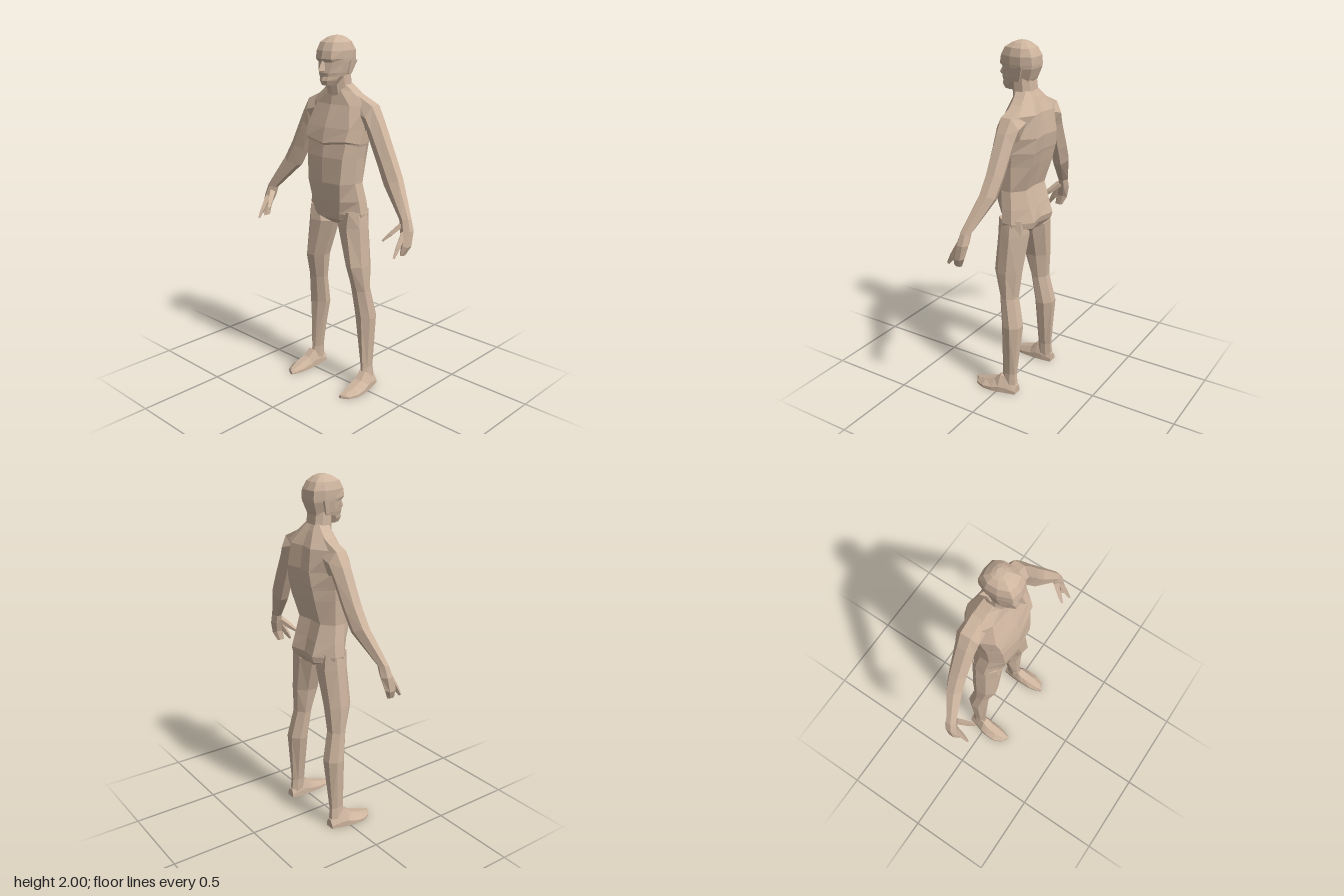
import * as THREE from 'three';

const skin = new THREE.MeshStandardMaterial({ color: 0xcdb49e });
skin.name = 'skin';

// Closed faceted loft through rings of [x, y, z]; side = -1 mirrors it across x.
function loft(name, rings, side = 1) {
  const tris = [];
  const n = rings[0].length;
  const centre = (r) => [0, 1, 2].map((k) => r.reduce((s, p) => s + p[k], 0) / n);
  const first = rings[0], last = rings[rings.length - 1];
  const c0 = centre(first), c1 = centre(last);
  for (let j = 0; j < n; j++) {
    const k = (j + 1) % n;
    for (let i = 0; i < rings.length - 1; i++) {
      const a = rings[i], b = rings[i + 1];
      tris.push([a[j], a[k], b[k]], [a[j], b[k], b[j]]);
    }
    tris.push([c0, first[k], first[j]], [c1, last[j], last[k]]);
  }
  // Turn the faces outward whichever way the rings run
  const v = tris.map((t) => t.map((p) => new THREE.Vector3(p[0] * side, p[1], p[2])));
  const volume = v.reduce((s, [a, b, c]) => s + a.dot(b.clone().cross(c)), 0);
  const points = v.flatMap(([a, b, c]) => (volume < 0 ? [a, c, b] : [a, b, c]));
  const geometry = new THREE.BufferGeometry().setFromPoints(points);
  geometry.computeVertexNormals();
  const mesh = new THREE.Mesh(geometry, skin);
  mesh.name = name;
  return mesh;
}

// Symmetric horizontal ring: half width, front width and depths, side depth, back width and depths
function bodyRing([y, w, f, zf0, zf, zs, b, zb, zb0], gap, lift = 0) {
  const half = [[f, y + lift, zf], [w, y, zs + gap], [w, y, zs - gap], [b, y, zb]];
  const mirrored = half.map(([x, h, z]) => [-x, h, z]).reverse();
  return [[0, y, zf0], ...half, [0, y, zb0], ...mirrored];
}

// Six-sided limb ring between an outer and an inner contour point
function armRing([xo, yo, xi, yi, z, d]) {
  const at = (t, dz) => [xo + (xi - xo) * t, yo + (yi - yo) * t, z + dz];
  return [at(0, d * 0.45), at(0.45, d), at(1, d * 0.5), at(1, -d * 0.5), at(0.45, -d), at(0, -d * 0.45)];
}

// Eight-sided horizontal leg ring
function legRing([y, xo, xi, zf, zb]) {
  const x = (t) => xi + (xo - xi) * t, z = (t) => zb + (zf - zb) * t;
  return [[x(0.3), z(0.93)], [x(0.65), z(1)], [x(0.95), z(0.72)], [x(1), z(0.35)],
    [x(0.75), z(0.03)], [x(0.35), z(0)], [x(0.04), z(0.3)], [x(0), z(0.65)]].map(([a, b]) => [a, y, b]);
}

// Tapered four-sided finger
function finger(name, a, b, r0, r1, side) {
  const ring = ([x, y, z], r) => [[x + r, y, z], [x, y + r * 0.6, z + r], [x - r, y, z], [x, y - r * 0.6, z - r]];
  const mid = a.map((v, i) => v + (b[i] - v) * 0.6);
  return loft(name, [ring(a, r0), ring(mid, r0 * 0.85), ring(b, r1)], side);
}

function buildArm(side) {
  const arm = new THREE.Group();
  arm.name = side > 0 ? 'leftArm' : 'rightArm';
  arm.add(loft('armAndShoulder', [
    [0.11, 1.70, 0.15, 1.50, -0.065, 0.06],
    [0.235, 1.645, 0.20, 1.515, -0.065, 0.066],
    [0.28, 1.57, 0.225, 1.455, -0.062, 0.058],
    [0.375, 1.38, 0.28, 1.345, -0.057, 0.052],
    [0.43, 1.28, 0.335, 1.24, -0.047, 0.048],
    [0.538, 1.10, 0.48, 1.09, 0.005, 0.03],
  ].map(armRing), side));
  arm.add(loft('hand', [
    [0.538, 1.10, 0.48, 1.09, 0.005, 0.03],
    [0.558, 1.04, 0.495, 1.04, 0.012, 0.036],
    [0.56, 0.96, 0.52, 0.975, 0.03, 0.036],
    [0.538, 0.912, 0.52, 0.915, 0.045, 0.024],
  ].map(armRing), side));
  arm.add(finger('indexFinger', [0.525, 1.03, 0.035], [0.525, 0.91, 0.112], 0.017, 0.007, side));
  arm.add(finger('thumb', [0.497, 1.065, 0.02], [0.442, 0.985, 0.105], 0.019, 0.008, side));
  return arm;
}

function buildLeg(side) {
  const leg = new THREE.Group();
  leg.name = side > 0 ? 'leftLeg' : 'rightLeg';
  leg.add(loft('thighAndCalf', [
    [1.06, 0.19, 0.06, 0.045, -0.11],
    [0.97, 0.203, 0.014, 0.053, -0.115],
    [0.75, 0.222, 0.085, 0.055, -0.10],
    [0.60, 0.226, 0.108, 0.015, -0.088],
    [0.43, 0.245, 0.118, -0.005, -0.125],
    [0.12, 0.226, 0.172, -0.015, -0.10],
    [0.03, 0.235, 0.175, -0.005, -0.108],
  ].map(legRing), side));
  // Foot sections from heel to toe: z, inner x, outer x, top height
  leg.add(loft('foot', [
    [-0.11, 0.18, 0.235, 0.05],
    [-0.05, 0.172, 0.25, 0.09],
    [-0.01, 0.17, 0.262, 0.10],
    [0.03, 0.17, 0.27, 0.065],
    [0.09, 0.172, 0.272, 0.045],
    [0.145, 0.185, 0.248, 0.028],
    [0.17, 0.196, 0.21, 0.02],
  ].map(([z, xi, xo, h]) => {
    const w = xo - xi;
    return [[xi, 0, z], [xo, 0, z], [xo, h * 0.35, z], [xo - w * 0.35, h, z], [xi + w * 0.2, h, z], [xi, h * 0.4, z]];
  }), side));
  return leg;
}

function buildHead() {
  const head = new THREE.Group();
  head.name = 'head';
  head.add(loft('skullAndJaw', [
    [1.745, 0.035, 0.018, 0.085, 0.08, 0.03, 0.03, -0.01, -0.01],
    [1.77, 0.05, 0.027, 0.10, 0.088, 0.02, 0.04, -0.03, -0.03],
    [1.79, 0.062, 0.03, 0.092, 0.084, 0.0, 0.045, -0.075, -0.08],
    [1.81, 0.068, 0.036, 0.098, 0.085, -0.005, 0.045, -0.085, -0.09],
    [1.865, 0.078, 0.052, 0.088, 0.072, -0.02, 0.055, -0.105, -0.11],
    [1.883, 0.08, 0.055, 0.102, 0.088, -0.02, 0.055, -0.107, -0.112],
    [1.925, 0.081, 0.054, 0.094, 0.082, -0.02, 0.055, -0.105, -0.112],
    [1.967, 0.068, 0.048, 0.073, 0.062, -0.02, 0.045, -0.083, -0.09],
    [1.99, 0.042, 0.03, 0.035, 0.03, -0.02, 0.03, -0.055, -0.06],
    [2.0, 0.02, 0.015, 0.005, 0.002, -0.02, 0.012, -0.035, -0.038],
  ].map((r) => bodyRing(r, r[1] * 0.4))));
  // Nose wedge
  head.add(loft('nose', [
    [[-0.007, 1.878, 0.08], [0.007, 1.878, 0.08], [0, 1.874, 0.097]],
    [[-0.02, 1.822, 0.08], [0.02, 1.822, 0.08], [0, 1.824, 0.125]],
    [[-0.014, 1.812, 0.08], [0.014, 1.812, 0.08], [0, 1.814, 0.114]],
  ]));
  for (const side of [1, -1]) {
    head.add(loft(side > 0 ? 'leftEar' : 'rightEar', [
      [[0.066, 1.868, -0.03], [0.066, 1.80, -0.022], [0.066, 1.80, -0.04], [0.066, 1.87, -0.06]],
      [[0.088, 1.872, -0.036], [0.077, 1.803, -0.024], [0.08, 1.803, -0.045], [0.101, 1.876, -0.07]],
    ], side));
  }
  return head;
}

export function createModel() {
  const model = new THREE.Group();
  model.name = 'figure';
  // Pelvis, waist, rib cage and shoulder slope
  model.add(loft('torso', [
    [0.968, 0.05, 0.02, 0.0, 0.0, -0.04, 0.04, -0.105, -0.095],
    [1.01, 0.185, 0.08, 0.058, 0.052, -0.035, 0.10, -0.145, -0.125],
    [1.045, 0.192, 0.09, 0.066, 0.06, -0.035, 0.10, -0.154, -0.135],
    [1.12, 0.182, 0.105, 0.085, 0.074, -0.03, 0.10, -0.13, -0.118],
    [1.22, 0.165, 0.12, 0.102, 0.088, -0.015, 0.10, -0.10, -0.09],
    [1.36, 0.172, 0.13, 0.10, 0.08, -0.02, 0.11, -0.143, -0.128],
    [1.425, 0.18, 0.14, 0.088, 0.064, -0.03, 0.11, -0.158, -0.143],
    [1.438, 0.184, 0.145, 0.10, 0.078, -0.03, 0.11, -0.162, -0.147],
    [1.52, 0.192, 0.155, 0.08, 0.055, -0.05, 0.10, -0.172, -0.158],
    [1.64, 0.20, 0.12, 0.032, 0.015, -0.065, 0.09, -0.155, -0.14],
    [1.715, 0.10, 0.05, 0.018, 0.008, -0.055, 0.05, -0.11, -0.105],
    [1.75, 0.06, 0.03, 0.02, 0.012, -0.045, 0.035, -0.088, -0.085],
  ].map((r, i) => bodyRing(r, 0.03, i === 6 || i === 7 ? 0.02 : 0))));
  model.add(loft('neck', [
    [1.67, 0.085, 0.04, 0.022, 0.012, -0.05, 0.05, -0.125, -0.12],
    [1.74, 0.066, 0.035, 0.03, 0.022, -0.035, 0.04, -0.09, -0.088],
    [1.82, 0.062, 0.035, 0.04, 0.03, -0.025, 0.04, -0.08, -0.08],
  ].map((r) => bodyRing(r, 0.025))));
  model.add(buildHead());
  for (const side of [1, -1]) model.add(buildArm(side), buildLeg(side));
  return model;
}
